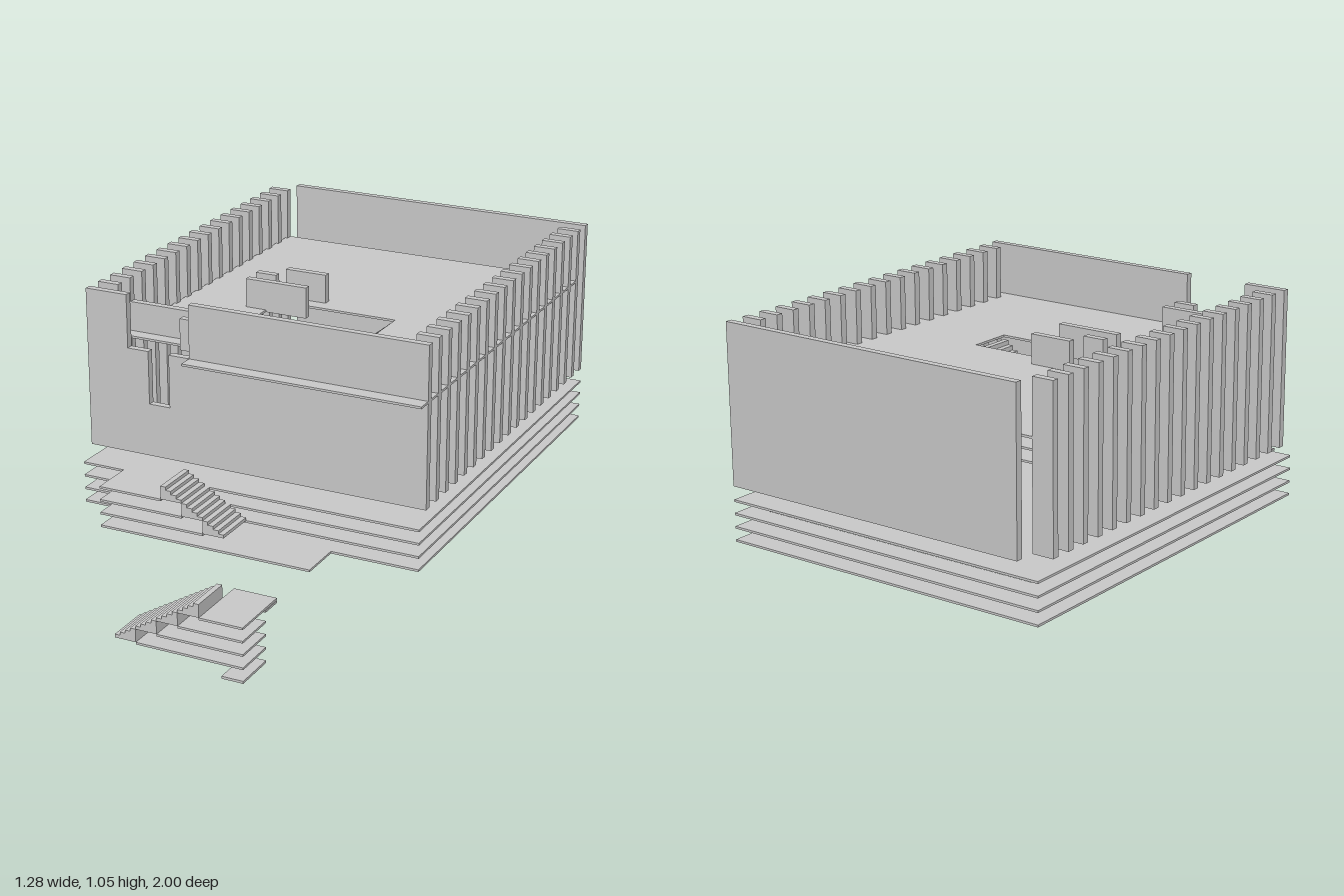
import * as THREE from 'three';

const mat = new THREE.MeshStandardMaterial({ color: 0xcccccc, flatShading: true });
const T = 0.008;      // slab thickness
const PITCH = 0.048;  // height between slabs
const FIN = 0.026;    // wall and fin thickness
const FRONT = 0.52;   // front edge of the slabs

export function createModel() {
  const root = new THREE.Group();

  const group = (name) => {
    const g = new THREE.Group();
    g.name = name;
    root.add(g);
    return g;
  };
  const box = (parent, name, x0, x1, y0, y1, z0, z1) => {
    const m = new THREE.Mesh(new THREE.BoxGeometry(x1 - x0, y1 - y0, z1 - z0), mat);
    m.position.set((x0 + x1) / 2, (y0 + y1) / 2, (z0 + z1) / 2);
    m.name = name;
    parent.add(m);
  };
  const rect = (x0, x1, z0, z1) => [[x0, z0], [x1, z0], [x1, z1], [x0, z1]];
  // Outline in x and plan z, laid flat with its upper face at "top"
  const plate = (parent, name, pts, top, holes = []) => {
    const toPath = (P, list) => new P(list.map(([x, z]) => new THREE.Vector2(x, -z)));
    const shape = toPath(THREE.Shape, pts);
    holes.forEach((h) => shape.holes.push(toPath(THREE.Path, h)));
    const geo = new THREE.ExtrudeGeometry(shape, { depth: T, bevelEnabled: false });
    geo.rotateX(-Math.PI / 2);
    const m = new THREE.Mesh(geo, mat);
    m.position.y = top - T;
    m.name = name;
    parent.add(m);
  };
  // Flat-bottomed blocks, one per slab level, climbing along dir with treads of 0.02
  const stair = (parent, x, y, dir, steps, perBlock, z0, z1) => {
    const tread = 0.02 * dir, rise = PITCH / perBlock;
    for (let first = 0; first < steps; first += perBlock) {
      const start = x + tread * first, base = y + rise * first;
      const count = Math.min(perBlock, steps - first);
      const pts = [new THREE.Vector2(start, base)];
      for (let s = 0; s < count; s++) {
        const h = base + rise * (s + 1);
        pts.push(new THREE.Vector2(start + tread * s, h));
        pts.push(new THREE.Vector2(start + tread * (s + 1), h));
      }
      pts.push(new THREE.Vector2(start + tread * count, base));
      const geo = new THREE.ExtrudeGeometry(new THREE.Shape(pts), { depth: z1 - z0, bevelEnabled: false });
      const m = new THREE.Mesh(geo, mat);
      m.position.z = z0;
      m.name = 'stepBlock';
      parent.add(m);
    }
  };

  // Detached lower stair with its stacked landings
  const lower = group('lowerStair');
  box(lower, 'footSlab', 0.16, 0.24, 0, 0.009, 0.84, 1);
  for (let k = 0; k < 3; k++) {
    const top = 0.058 + PITCH * k;
    box(lower, 'landingSlab', -0.16 + 0.08 * k, 0.24, top - T, top, 0.84, 1);
  }
  box(lower, 'topLanding', 0.08, 0.24, 0.194, 0.202, 0.76, 1);
  box(lower, 'rearStepHigh', 0.16, 0.24, 0.184, 0.192, 0.76, 0.84);
  box(lower, 'rearStepLow', 0.08, 0.16, 0.163, 0.171, 0.76, 0.84);
  stair(lower, -0.24, 0.058, 1, 16, 4, 0.84, 1);

  // Stacked base slabs, each with a front terrace; all but the top one are open in the middle
  const base = group('baseSlabs');
  [0.32, -0.08, -0.16, -0.24].forEach((end, j) => {
    plate(base, 'baseSlab', [
      [-0.64, -1], [-0.64, FRONT], [-0.48, FRONT], [-0.48, 0.68],
      [end, 0.68], [end, FRONT], [0.64, FRONT], [0.64, -1],
    ], 0.286 + PITCH * j, j < 3 ? [rect(-0.56, 0.56, -0.92, 0.44)] : []);
  });
  stair(group('entranceStair'), 0, 0.334, -1, 12, 4, FRONT, 0.68);

  // Small slabs under the walls
  const Y0 = 0.478, Y1 = 1.054, FLOOR = 0.862;
  const pads = group('floorPads');
  box(pads, 'pad', -0.56, -0.48, Y0 - T, Y0, 0.2, 0.28);
  box(pads, 'stairFootPad', -0.32, -0.24, Y0 - T, Y0, -0.2, -0.04);
  box(pads, 'pad', 0.16, 0.24, Y0 - T, Y0, -0.68, -0.6);

  // Front wall with the opening and the slot below it
  const wallShape = new THREE.Shape([
    [-0.64, Y0], [0.64, Y0], [0.64, Y1], [-0.24, Y1], [-0.24, FLOOR], [-0.32, FLOOR],
    [-0.32, 0.67], [-0.4, 0.67], [-0.4, FLOOR], [-0.48, FLOOR], [-0.48, Y1], [-0.64, Y1],
  ].map(([x, y]) => new THREE.Vector2(x, y)));
  const front = new THREE.Mesh(new THREE.ExtrudeGeometry(wallShape, { depth: FIN, bevelEnabled: false }), mat);
  front.position.z = 0.44;
  front.name = 'frontWall';
  root.add(front);
  box(root, 'backWall', -0.56, 0.64, Y0, Y1, -1, -1 + FIN);

  // Side fins
  const fins = group('sideFins');
  for (let k = 1; k < 18; k++) {
    const z = 0.44 - 0.08 * k;
    box(fins, 'leftFin', 0.56, 0.64, Y0, Y1, z, z + FIN);
    box(fins, 'rightFin', -0.64, -0.56, Y0, Y1, z, z + FIN);
  }

  // Upper floor with stair opening and front ledge
  plate(root, 'upperFloor', [
    [-0.57, -0.92], [-0.57, 0.355], [-0.24, 0.355], [-0.24, FRONT], [0.64, FRONT], [0.64, -0.92],
  ], FLOOR, [rect(-0.24, 0.22, -0.2, -0.04)]);

  // Inner stair, with a landing slab behind each block
  const inner = group('innerStair');
  stair(inner, -0.24, Y0, 1, 23, 3, -0.2, -0.04);
  for (let k = 0; k < 7; k++) {
    const top = Y0 + PITCH * k;
    box(inner, 'landingSlab', -0.18 + 0.06 * k, 0.24, top - T, top, -0.2, -0.04);
  }

  // Low partitions standing on the upper floor: x range and rear z
  const partitions = group('partitions');
  [
    [-0.24, -0.08, -0.28], [-0.32, -0.24, -0.2], [-0.32, -0.08, -0.12],
    [-0.64, -0.24, 0.28], [-0.32, -0.24, 0.36],
  ].forEach(([x0, x1, z]) => box(partitions, 'partition', x0, x1, FLOOR - T, 0.968, z, z + FIN));

  return root;
}
